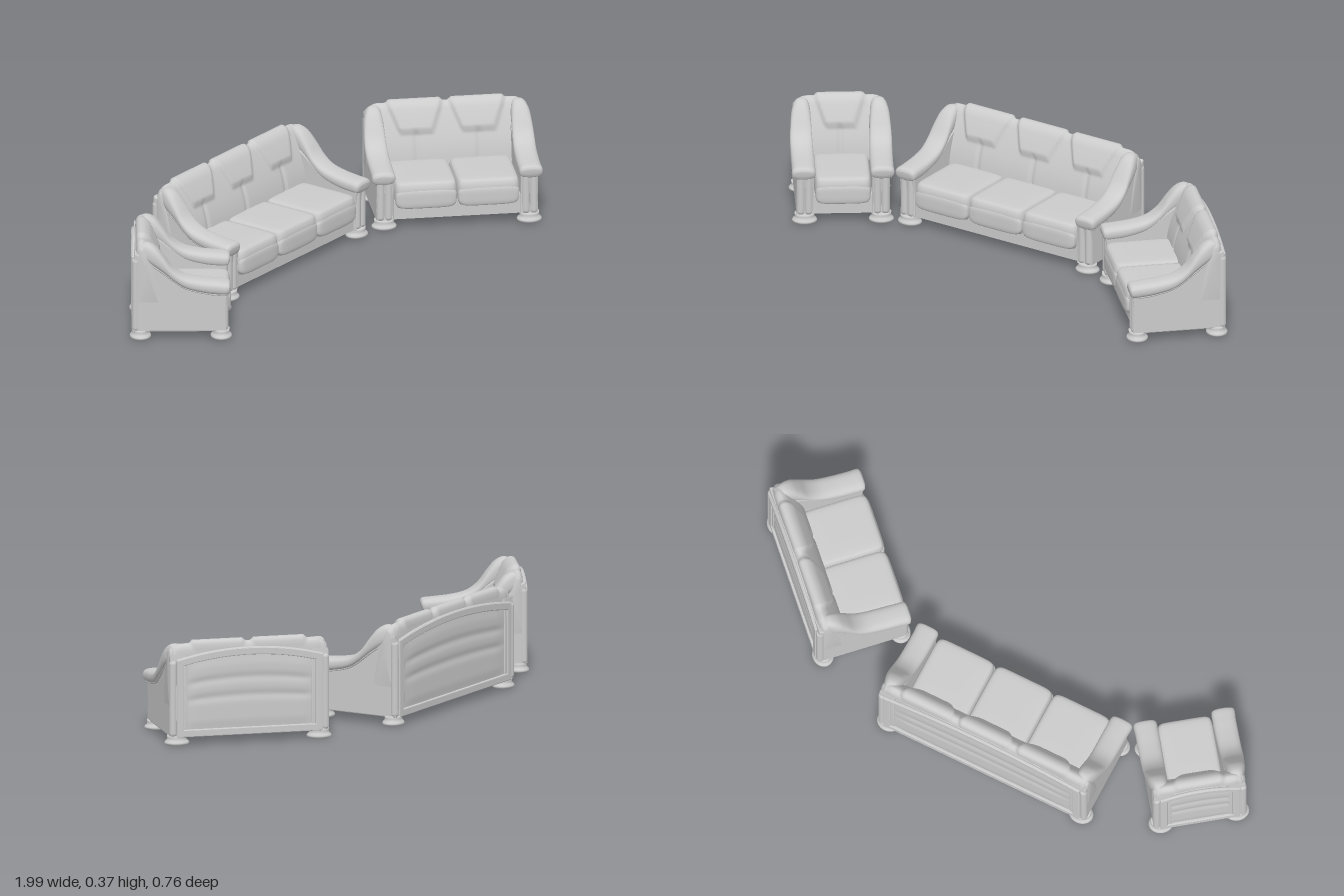
import * as THREE from 'three';
import { mergeVertices } from 'three/addons/utils/BufferGeometryUtils.js';

const grey = new THREE.MeshStandardMaterial({ color: 0xcccccc, roughness: 0.8 });
const V = (x, y, z = 0) => new THREE.Vector3(x, y, z);
const step = (t) => THREE.MathUtils.smoothstep(t, 0, 1);

function add(group, name, geometry, x = 0, y = 0, z = 0) {
  const mesh = new THREE.Mesh(geometry, grey);
  mesh.name = name;
  mesh.position.set(x, y, z);
  group.add(mesh);
  return mesh;
}

// Skin closed rings of points, cap both ends, and turn faces outward
function loft(rings) {
  const n = rings[0].length, pos = [], idx = [];
  rings.forEach((r) => r.forEach((p) => pos.push(p.x, p.y, p.z)));
  for (let i = 0; i < rings.length - 1; i++) {
    for (let j = 0; j < n; j++) {
      const a = i * n + j, b = i * n + (j + 1) % n;
      idx.push(a, b, a + n, b, b + n, a + n);
    }
  }
  [0, rings.length - 1].forEach((k) => {
    const c = V(0, 0), id = pos.length / 3;
    rings[k].forEach((p) => c.addScaledVector(p, 1 / n));
    pos.push(c.x, c.y, c.z);
    for (let j = 0; j < n; j++) {
      const a = k * n + j, b = k * n + (j + 1) % n;
      if (k === 0) idx.push(id, b, a); else idx.push(id, a, b);
    }
  });
  const at = (i) => V(pos[3 * i], pos[3 * i + 1], pos[3 * i + 2]);
  let volume = 0;
  for (let i = 0; i < idx.length; i += 3) volume += at(idx[i]).dot(at(idx[i + 1]).cross(at(idx[i + 2])));
  if (volume < 0) idx.reverse();
  const g = new THREE.BufferGeometry();
  g.setAttribute('position', new THREE.Float32BufferAttribute(pos, 3));
  g.setIndex(idx);
  g.computeVertexNormals();
  return g;
}

// Soft cushion: a cube pulled onto a rounded superellipsoid
function cushion(w, h, d, power = 6) {
  let g = new THREE.BoxGeometry(2, 2, 2, 16, 12, 16);
  g.deleteAttribute('uv');
  g.deleteAttribute('normal');
  g = mergeVertices(g);
  const p = g.attributes.position;
  for (let i = 0; i < p.count; i++) {
    const v = V(p.getX(i), p.getY(i), p.getZ(i));
    const len = (Math.abs(v.x) ** power + Math.abs(v.y) ** 4 + Math.abs(v.z) ** power) ** (1 / power);
    p.setXYZ(i, v.x / len * w / 2, v.y / len * h / 2, v.z / len * d / 2);
  }
  g.computeVertexNormals();
  return g;
}

// Padded backrest with a raised tapering headrest over each seat
function backrest(half, seats, seatWidth) {
  const profile = new THREE.CatmullRomCurve3([
    V(-0.05, 0.14), V(-0.06, 0.2), V(-0.075, 0.25), V(-0.105, 0.32), V(-0.122, 0.348),
    V(-0.138, 0.357), V(-0.153, 0.347), V(-0.16, 0.3), V(-0.16, 0.14)]);
  const rings = [], columns = seats * 40;
  for (let i = 0; i <= columns; i++) {
    const x = (i / columns * 2 - 1) * half;
    const cell = Math.min(seats - 1, Math.max(0, Math.floor(x / seatWidth + seats / 2)));
    const xc = Math.abs(x - (cell - (seats - 1) / 2) * seatWidth);
    const end = Math.max(0, 1 - (half - Math.abs(x)) / 0.05) ** 2;
    const ring = [];
    for (let j = 0; j <= 56; j++) {
      const t = j / 56, p = profile.getPoint(t), tan = profile.getTangent(t);
      const hw = seatWidth * THREE.MathUtils.mapLinear(p.y, 0.26, 0.36, 0.25, 0.44);
      let d = 0.011 * step((hw - xc) / 0.012 + 0.5) * step((p.y - 0.258) / 0.012);
      if (p.y < 0.262) d -= 0.006 * Math.exp(-((xc / 0.007) ** 2));
      if (t > 0.66) d *= step((0.82 - t) / 0.16);
      ring.push(V(x, 0.14 + (p.y + -tan.x * d - 0.14) * (1 - 0.12 * end),
        THREE.MathUtils.lerp(p.x + tan.y * d, -0.13, 0.4 * end)));
    }
    rings.push(ring);
  }
  return loft(rings);
}

// Arm edges from front to back: z top, y top, z bottom, y bottom, inset inner, inset outer
const ARM = [
  [0.173, 0.2, 0.17, 0.18, 0.068, 0.012], [0.166, 0.211, 0.162, 0.167, 0.08, 0],
  [0.13, 0.216, 0.125, 0.166, 0.082, 0], [0.07, 0.222, 0.08, 0.172, 0.082, 0],
  [0.01, 0.236, 0.02, 0.188, 0.08, 0], [-0.03, 0.264, -0.02, 0.212, 0.078, 0],
  [-0.062, 0.308, -0.062, 0.245, 0.076, 0.003], [-0.09, 0.341, -0.11, 0.278, 0.074, 0.008],
  [-0.12, 0.355, -0.14, 0.296, 0.07, 0.018], [-0.15, 0.345, -0.16, 0.305, 0.066, 0.028]];

function addArm(group, half, s) {
  const top = new THREE.CatmullRomCurve3(ARM.map((a) => V(a[0], a[1], a[4])));
  const low = new THREE.CatmullRomCurve3(ARM.map((a) => V(a[2], a[3], a[5])));
  const rings = [], soft = (v) => Math.sign(v) * Math.abs(v) ** 0.75;
  for (let i = 0; i <= 45; i++) {
    const a = top.getPoint(i / 45), b = low.getPoint(i / 45), ring = [];
    for (let j = 0; j < 28; j++) {
      const ang = j / 28 * Math.PI * 2, u = (1 + soft(Math.sin(ang))) / 2, w = (1 + soft(Math.cos(ang))) / 2;
      ring.push(V(s * (half - THREE.MathUtils.lerp(a.z, b.z, w)),
        THREE.MathUtils.lerp(b.y, a.y, u), THREE.MathUtils.lerp(b.x, a.x, u)));
    }
    rings.push(ring);
  }
  add(group, 'armRoll', loft(rings));

  // Piping under the roll
  const seam = low.getPoints(24).slice(2, 22).map((p) => V(s * (half - p.z - 0.012), p.y + 0.004, p.x));
  add(group, 'armPiping', new THREE.TubeGeometry(new THREE.CatmullRomCurve3(seam), 40, 0.004, 6));

  // Side panel below the roll
  const shape = new THREE.Shape();
  shape.moveTo(0.155, 0.034);
  shape.quadraticCurveTo(0.148, 0.11, 0.16, 0.185);
  shape.splineThru(ARM.slice(3).map((a) => new THREE.Vector2(a[2], a[3] + 0.012)));
  shape.quadraticCurveTo(-0.168, 0.2, -0.163, 0.034);
  const panel = new THREE.ExtrudeGeometry(shape, {
    depth: 0.054, bevelThickness: 0.004, bevelSize: 0.004, bevelSegments: 2, curveSegments: 12 });
  panel.translate(0, 0, -0.027).rotateY(-Math.PI / 2);
  add(group, 'sidePanel', panel, s * (half - 0.046), 0, 0);

  // Ribbed posts at the front of the arm and the rear corner
  for (const o of [0.03, 0.058]) {
    add(group, 'frontPost', new THREE.CapsuleGeometry(0.015, 0.125, 6, 14), s * (half - o), 0.107, 0.15);
  }
  for (const o of [0.026, 0.048]) {
    add(group, 'rearPost', new THREE.CapsuleGeometry(0.014, 0.245, 6, 14), s * (half - o), 0.166, -0.158);
  }

  // Bun feet
  const foot = new THREE.LatheGeometry([[0, 0], [0.037, 0], [0.043, 0.004], [0.044, 0.009], [0.04, 0.014],
    [0.035, 0.018], [0.034, 0.026], [0.035, 0.034], [0, 0.034]].map((p) => new THREE.Vector2(...p)), 32);
  for (const z of [-0.142, 0.14]) add(group, 'foot', foot, s * (half - 0.044), 0, z).scale.z = 0.85;
}

// Arched rear frame with a softly folded inset
function addRear(group, half) {
  const hx = half - 0.04;
  const arch = (x) => 0.3 + 0.035 * (1 - (x / hx) ** 2);
  const outline = (inset) => {
    const w = hx - inset, pts = [new THREE.Vector2(-w, 0.032 + inset), new THREE.Vector2(w, 0.032 + inset)];
    for (let i = 0; i <= 24; i++) {
      const x = w * (1 - i / 12);
      pts.push(new THREE.Vector2(x, arch(x) - inset));
    }
    return pts;
  };
  const frame = new THREE.Shape(outline(0));
  frame.holes.push(new THREE.Path(outline(0.02)));
  add(group, 'rearFrame', new THREE.ExtrudeGeometry(frame, {
    depth: 0.012, bevelThickness: 0.003, bevelSize: 0.003, bevelSegments: 2 }), 0, 0, -0.17);

  const inset = new THREE.PlaneGeometry(2, 1, 32, 40).rotateY(Math.PI);
  const p = inset.attributes.position;
  for (let i = 0; i < p.count; i++) {
    const x = p.getX(i) * (hx - 0.012), v = p.getY(i) + 0.5;
    const edge = step((1 - Math.abs(p.getX(i))) * 4) * step(v * 6) * step((1 - v) * 6);
    const folds = Math.exp(-(((v - 0.45) / 0.05) ** 2)) + Math.exp(-(((v - 0.68) / 0.05) ** 2));
    p.setXYZ(i, x, 0.045 + v * (arch(x) - 0.058), -0.164 - 0.004 * edge * (1 - folds));
  }
  inset.computeVertexNormals();
  add(group, 'rearInset', inset);

  const rim = outline(0).slice(2).map((q) => V(q.x, q.y, -0.166));
  add(group, 'rearPiping', new THREE.TubeGeometry(new THREE.CatmullRomCurve3(rim), 48, 0.006, 8));
}

// One seat unit facing +z
function createSofa(name, seats, half) {
  const g = new THREE.Group();
  g.name = name;
  const inner = half - 0.08, w = inner * 2 / seats;
  add(g, 'base', new THREE.BoxGeometry(half * 2 - 0.06, 0.07, 0.31), 0, 0.068, -0.004);
  for (let i = 0; i < seats; i++) {
    const x = (i - (seats - 1) / 2) * w;
    add(g, 'seatCushion', cushion(w + 0.002, 0.098, 0.25, 9), x, 0.122, 0.047);
    // Rounded front roll of the seat
    add(g, 'seatFrontRoll', cushion(w - 0.004, 0.072, 0.05, 5), x, 0.11, 0.15);
  }
  add(g, 'backrest', backrest(half - 0.014, seats, w));
  addArm(g, half, 1);
  addArm(g, half, -1);
  addRear(g, half);
  return g;
}

export function createModel() {
  const model = new THREE.Group();
  model.name = 'loungeSet';
  const place = (sofa, x, z, turn) => {
    sofa.position.set(x, 0, z);
    sofa.rotation.y = turn;
    model.add(sofa);
  };
  place(createSofa('threeSeatSofa', 3, 0.42), -0.1, -0.2, 0);
  place(createSofa('armchair', 1, 0.178), -0.762, -0.053, 0.645);
  place(createSofa('twoSeatSofa', 2, 0.3), 0.674, 0.053, -0.785);
  return model;
}
